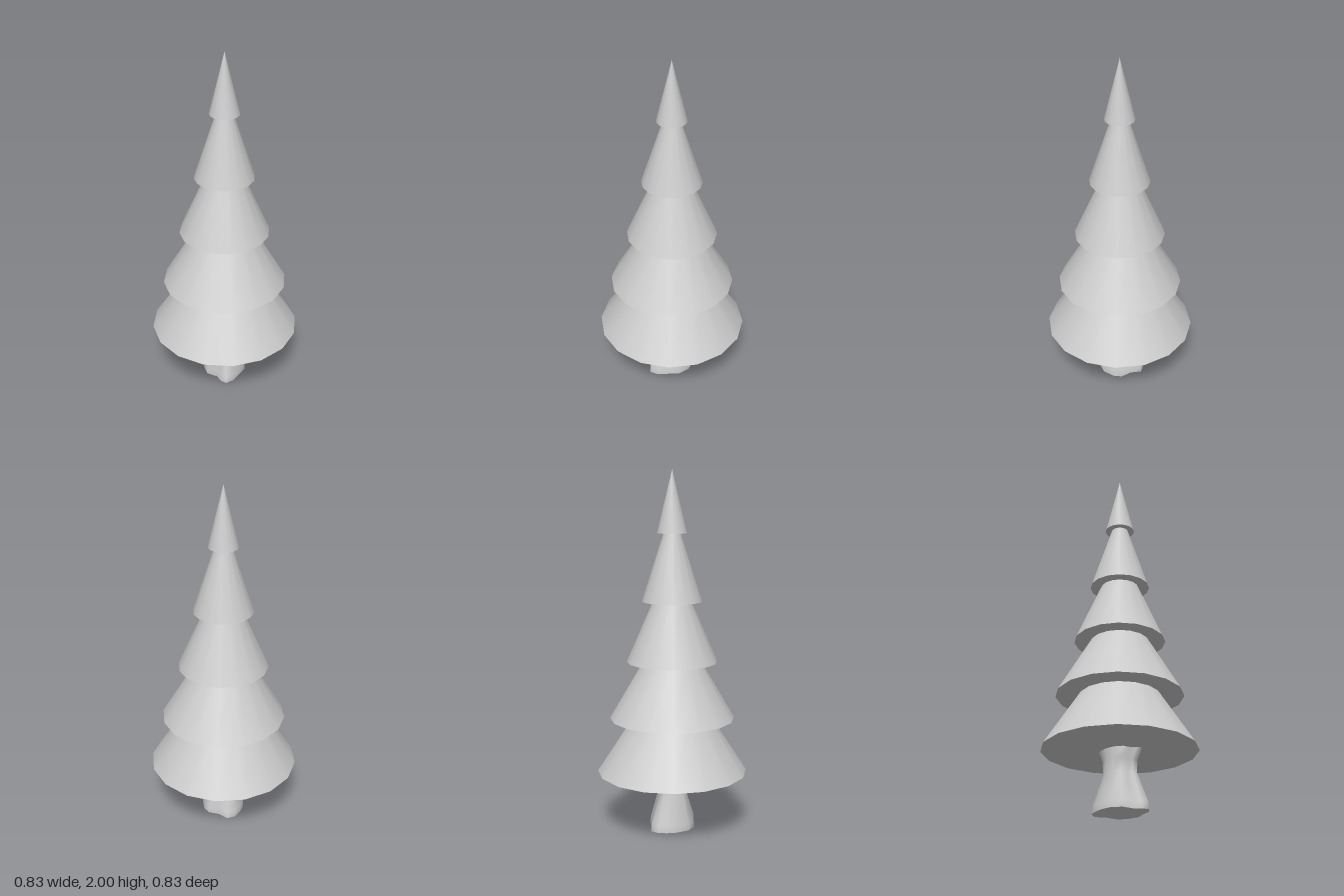
import * as THREE from 'three';

const material = new THREE.MeshStandardMaterial({ color: 0xcccccc });

// Lobed root outline as [x, z], running from +x towards +z
const outline = [
  [0.125, -0.02], [0.115, 0.05], [0.08, 0.09], [0.035, 0.145], [-0.01, 0.165],
  [-0.04, 0.14], [-0.055, 0.1], [-0.11, 0.065], [-0.125, 0], [-0.1, -0.07],
  [-0.07, -0.11], [-0.03, -0.145], [0.02, -0.15], [0.055, -0.1], [0.11, -0.065],
];

// Trunk sections: height, x scale, z scale
const sections = [
  [0, 1, 1], [0.04, 0.98, 0.98], [0.2, 0.67, 0.6], [0.27, 0.72, 0.61], [0.335, 0.66, 0.79],
];

function trunkGeometry() {
  const n = outline.length;
  const positions = [];
  const index = [];
  sections.forEach(([y, sx, sz], k) => {
    outline.forEach(([x, z], i) => {
      positions.push(x * sx, y, z * sz);
      if (k === sections.length - 1) return;
      const a = k * n + i;
      const b = k * n + (i + 1) % n;
      index.push(a, a + n, b, b, a + n, b + n);
    });
  });
  const geometry = new THREE.BufferGeometry();
  geometry.setAttribute('position', new THREE.Float32BufferAttribute(positions, 3));
  geometry.setIndex(index);
  geometry.computeVertexNormals();
  return geometry;
}

// Foliage tiers: bottom height, top height, bottom radius, top radius
const tiers = [
  [0.33, 0.635, 0.417, 0.22],
  [0.635, 0.955, 0.346, 0.16],
  [0.955, 1.29, 0.25, 0.105],
  [1.29, 1.66, 0.165, 0.047],
  [1.66, 2, 0.082, 0],
];

export function createModel() {
  const tree = new THREE.Group();
  tree.name = 'tree';
  const add = (name, geometry) => {
    const mesh = new THREE.Mesh(geometry, material);
    mesh.name = name;
    tree.add(mesh);
    return mesh;
  };

  // Stacked sixteen-sided cones with flat undersides
  tiers.forEach(([y0, y1, bottom, top], i) => {
    const tier = add(`foliageTier${i + 1}`, new THREE.CylinderGeometry(top, bottom, y1 - y0, 16));
    tier.position.y = (y0 + y1) / 2;
  });

  // Trunk with flared roots, closed underneath
  add('trunk', trunkGeometry());
  const base = new THREE.Shape(outline.map(([x, z]) => new THREE.Vector2(x, z)));
  add('trunkBase', new THREE.ShapeGeometry(base).rotateX(Math.PI / 2));

  return tree;
}
